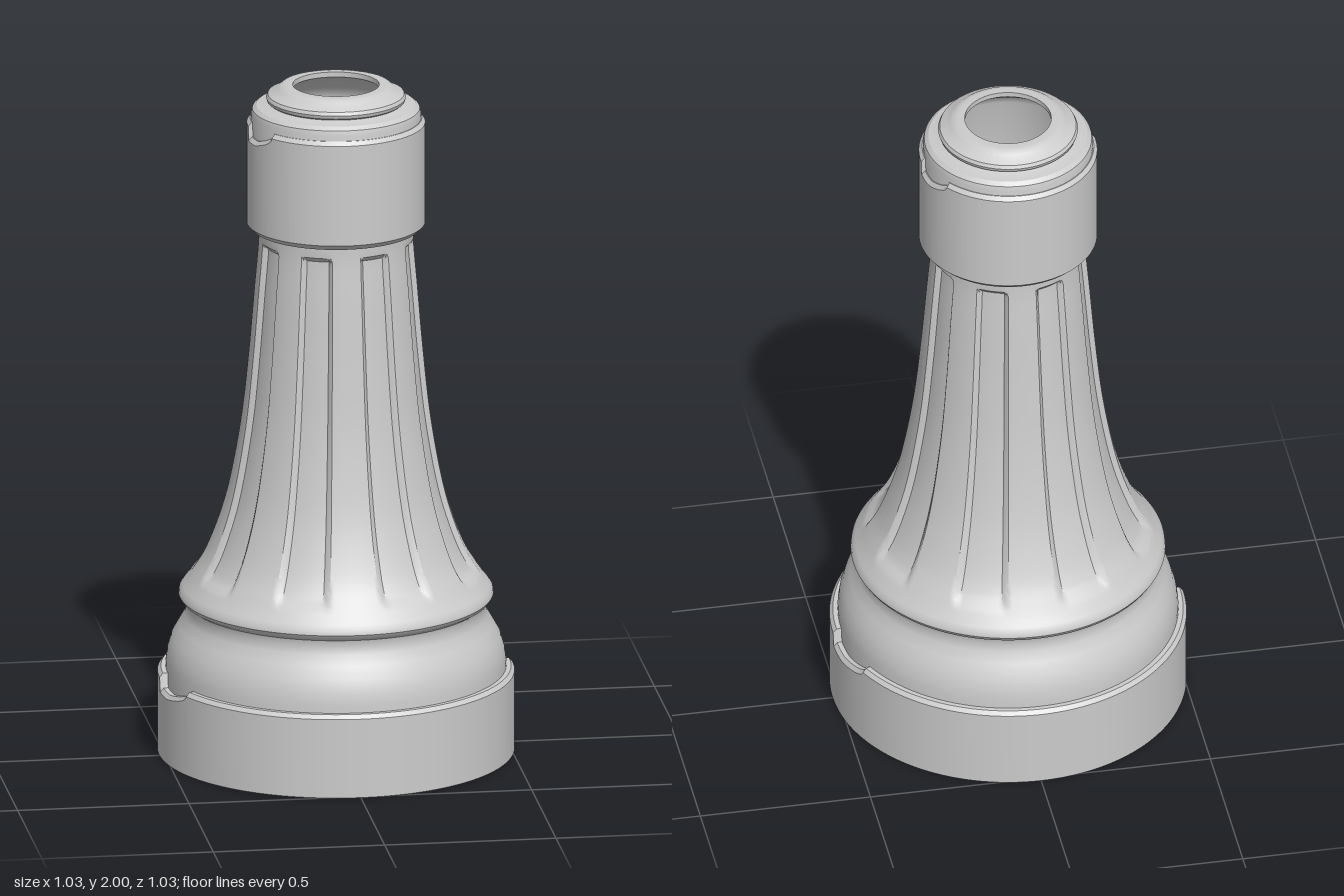
import * as THREE from 'three';
import { toCreasedNormals } from 'three/addons/utils/BufferGeometryUtils.js';

const material = new THREE.MeshStandardMaterial({ color: 0xcccccc });
const deg = THREE.MathUtils.radToDeg;
const ramp = (x, a, b) => THREE.MathUtils.clamp((x - a) / (b - a), 0, 1);

// Lathe a closed [radius, y] profile, then move its vertices by rule(r, y, angle) => [r, y]
function turned(name, profile, segments, rule) {
  const points = [...profile, profile[0]].map(([r, y]) => new THREE.Vector2(r, y));
  const geometry = new THREE.LatheGeometry(points, segments);
  const pos = geometry.attributes.position;
  for (let i = 0; i < pos.count; i++) {
    const x = pos.getX(i), z = pos.getZ(i);
    const angle = Math.atan2(x, z);
    const [r, y] = rule(Math.hypot(x, z), pos.getY(i), (deg(angle) + 360) % 360);
    pos.setXYZ(i, r * Math.sin(angle), y, r * Math.cos(angle));
  }
  const mesh = new THREE.Mesh(toCreasedNormals(geometry, 0.55), material);
  mesh.name = name;
  return mesh;
}

// Locking sleeve: its top edge has two opposite, tapering notches
function sleeve(name, inner, outer, y0, y1, bevel, start, end) {
  const profile = [
    [inner, y0], [outer - bevel, y0], [outer, y0 + bevel],
    [outer, y1 - 0.012], [outer - 0.01, y1], [inner, y1],
  ];
  return turned(name, profile, 360, (r, y, a) => {
    const t = a % 180;
    const cut = t >= start && t <= end
      ? 0.042 * ramp(t, start, start + 1) * Math.sqrt(1 - ramp(t, start + (end - start) * 0.4, end))
      : 0;
    return [r, y > y1 - 0.02 ? y - cut : y];
  });
}

export function createModel() {
  const model = new THREE.Group();
  model.name = 'hollowColumn';

  // Flaring shaft, sampled finely enough for the panel ends
  const curve = new THREE.CatmullRomCurve3([
    [0.43, 0.515], [0.41, 0.545], [0.377, 0.6], [0.338, 0.7], [0.31, 0.8], [0.274, 1],
    [0.252, 1.2], [0.235, 1.4], [0.224, 1.53], [0.223, 1.58],
  ].map(([r, y]) => new THREE.Vector3(r, y, 0)));
  const shaft = curve.getSpacedPoints(80).map((p) => [p.x, p.y]);
  const shaftInside = curve.getSpacedPoints(24).slice(2).reverse().map((p) => [p.x - 0.03, p.y]);

  // Body: bulging foot, bead, shaft, neck and domed mouth, then back down the inside
  const foot = [
    [0.465, 0.19], [0.492, 0.19], [0.492, 0.27], [0.487, 0.305], [0.475, 0.345], [0.455, 0.38],
    [0.438, 0.41], [0.432, 0.435], [0.436, 0.452], [0.448, 0.46], [0.455, 0.472], [0.453, 0.485], [0.443, 0.499],
  ];
  const mouth = [
    [0.243, 1.6], [0.246, 1.915], [0.242, 1.93], [0.23, 1.94], [0.205, 1.943], [0.192, 1.948],
    [0.199, 1.953], [0.202, 1.963], [0.197, 1.973], [0.18, 1.982], [0.168, 1.99],
    [0.158, 1.998], [0.145, 2], [0.125, 2], [0.125, 1.985],
    [0.15, 1.97], [0.17, 1.95], [0.2, 1.93], [0.215, 1.9], [0.215, 1.61],
  ];
  const footInside = [
    [0.405, 0.48], [0.405, 0.43], [0.428, 0.38], [0.45, 0.34], [0.465, 0.28],
  ];
  const nearShaft = (r, y) => curve.points.some((p, i, all) => {
    const q = all[i + 1];
    if (!q || y < p.y || y > q.y) return false;
    return r > THREE.MathUtils.mapLinear(y, p.y, q.y, p.x, q.x) - 0.015;
  });

  // Eight long recessed panels around the shaft
  model.add(turned('flutedBody', [...foot, ...shaft, ...mouth, ...shaftInside, ...footInside], 240,
    (r, y, a) => {
      if (y < 0.53 || y > 1.56 || !nearShaft(r, y)) return [r, y];
      const off = Math.abs((a % 45) - 22.5);
      const depth = 0.015 * (1 - ramp(off, 9.5, 11.2)) * ramp(y, 0.535, 0.555) * (1 - ramp(y, 1.525, 1.54));
      return [r - depth, y];
    }));

  model.add(sleeve('baseRing', 0.49, 0.516, 0, 0.25, 0.002, 91, 115));
  model.add(sleeve('topCollar', 0.218, 0.258, 1.572, 1.9, 0.016, 93, 126));
  return model;
}
